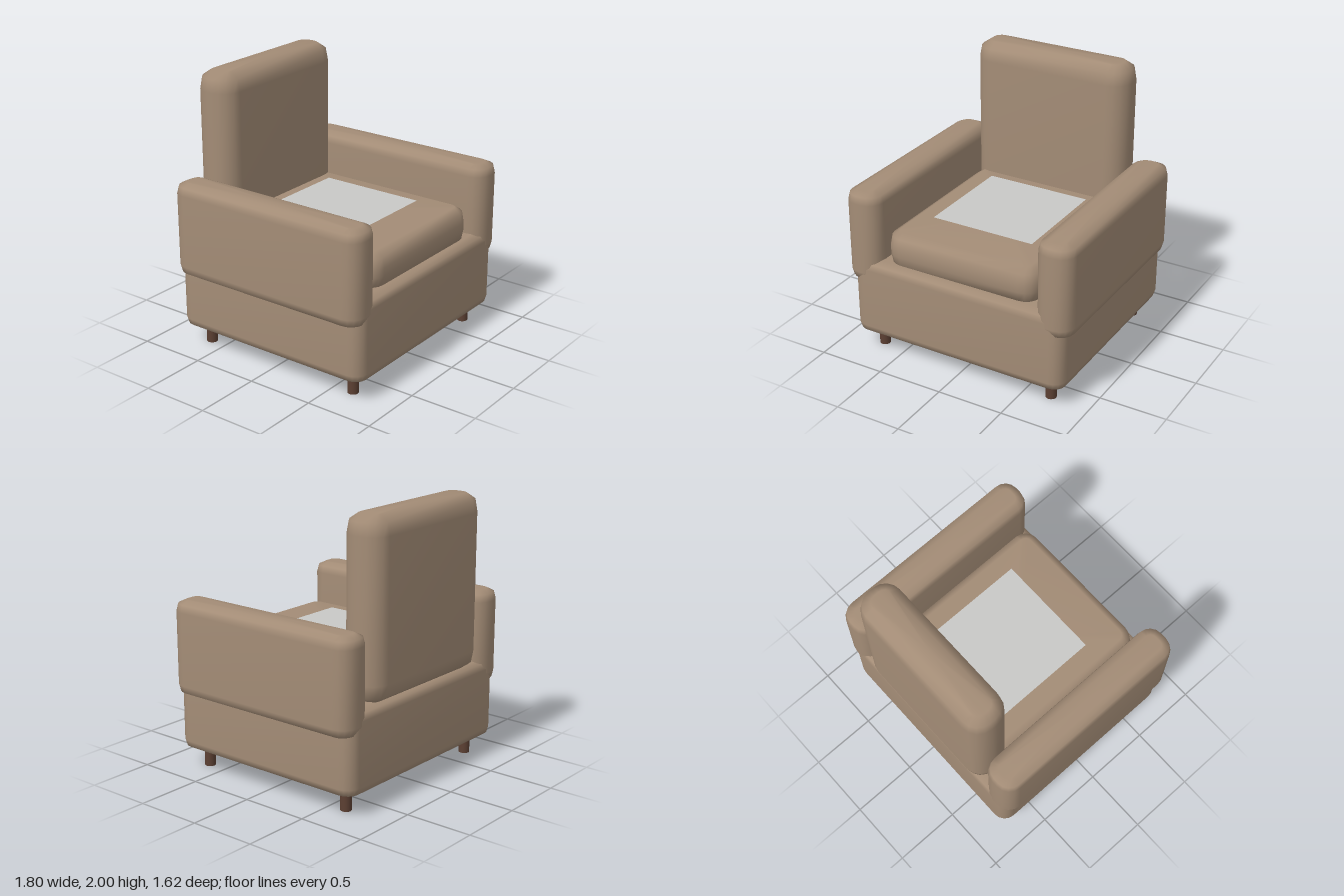
import * as THREE from 'three';

const CORNER_STEPS = 4;

// One horizontal rounded-rectangle loop of points at height y
function ring(halfX, halfZ, radius, y) {
  const points = [];
  for (let corner = 0; corner < 4; corner++) {
    const middle = (corner + 0.5) * Math.PI / 2;
    const cx = Math.sign(Math.cos(middle)) * (halfX - radius);
    const cz = Math.sign(Math.sin(middle)) * (halfZ - radius);
    for (let s = 0; s <= CORNER_STEPS; s++) {
      const a = (corner + s / CORNER_STEPS) * Math.PI / 2;
      points.push(cx + radius * Math.cos(a), y, cz + radius * Math.sin(a));
    }
  }
  return points;
}

// Soft upholstered block: stacked loops with rounded rims and fan caps
function paddedBlock(width, height, depth, radius, rimInset, rimHeight) {
  const rim = [[0, 1], [0.33, 0.2], [1, 0]]; // height and inset fractions
  const levels = [
    ...rim.map(([h, i]) => [h * rimHeight, i * rimInset]),
    ...rim.map(([h, i]) => [height - h * rimHeight, i * rimInset]).reverse(),
  ];
  const positions = [];
  for (const [y, inset] of levels) {
    positions.push(...ring(width / 2 - inset, depth / 2 - inset, Math.max(radius - inset, 0.03), y));
  }
  const count = 4 * (CORNER_STEPS + 1);
  const bottom = levels.length * count;
  const top = bottom + 1;
  positions.push(0, 0, 0, 0, height, 0);

  const index = [];
  const last = (levels.length - 1) * count;
  for (let j = 0; j < count; j++) {
    const k = (j + 1) % count;
    for (let i = 0; i < levels.length - 1; i++) {
      const a = i * count + j, b = i * count + k;
      index.push(a, a + count, b, b, a + count, b + count);
    }
    index.push(bottom, j, k, top, last + k, last + j);
  }
  const geometry = new THREE.BufferGeometry();
  geometry.setAttribute('position', new THREE.Float32BufferAttribute(positions, 3));
  geometry.setIndex(index);
  geometry.computeVertexNormals();
  return geometry;
}

export function createModel() {
  const group = new THREE.Group();
  const material = (name, color) => Object.assign(new THREE.MeshStandardMaterial({ color }), { name });
  const fabric = material('tan fabric', 0xa38c76);
  const wood = material('dark wood', 0x5c4033);
  const cloth = material('pale cloth', 0xc8c8c6);
  cloth.side = THREE.DoubleSide;

  const add = (name, geometry, mat, x, y, z) => {
    const mesh = new THREE.Mesh(geometry, mat);
    mesh.name = name;
    mesh.position.set(x, y, z);
    group.add(mesh);
    return mesh;
  };

  // Upholstered body
  add('base', paddedBlock(1.7, 0.6, 1.594, 0.1, 0.07, 0.07), fabric, 0, 0.14, 0.01);
  add('seatCushion', paddedBlock(1.2, 0.28, 1.36, 0.12, 0.07, 0.11), fabric, 0, 0.7, 0.065);
  add('backrest', paddedBlock(1.235, 1.27, 0.32, 0.14, 0.08, 0.135), fabric, 0, 0.73, -0.65);

  // Mirrored arms
  const arm = paddedBlock(0.275, 0.7, 1.6, 0.115, 0.07, 0.08);
  add('leftArm', arm, fabric, 0.762, 0.56, 0.01);
  add('rightArm', arm, fabric, -0.762, 0.56, 0.01);

  // Square cloth lying over the seat
  const square = new THREE.PlaneGeometry(0.8, 0.8).rotateX(-Math.PI / 2);
  add('seatCloth', square, cloth, 0, 1.0, 0.01);

  // Short round legs
  const leg = new THREE.CylinderGeometry(0.04, 0.04, 0.2, 16);
  for (const x of [-0.697, 0.697]) {
    for (const z of [-0.63, 0.65]) {
      add(`${z > 0 ? 'front' : 'back'}${x > 0 ? 'Left' : 'Right'}Leg`, leg, wood, x, 0.1, z);
    }
  }
  return group;
}
